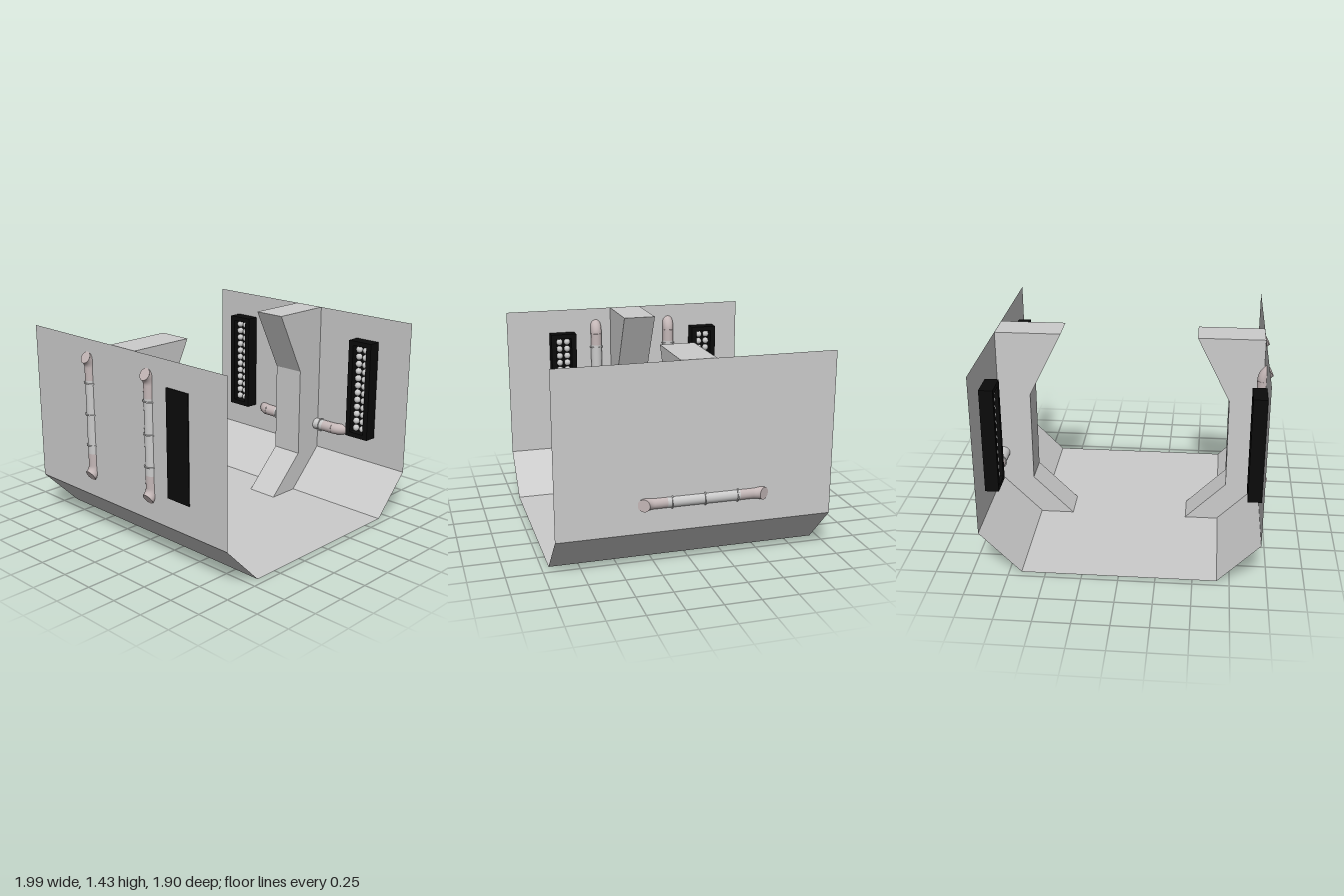
import * as THREE from 'three';

const grey = new THREE.MeshStandardMaterial({ color: 0xcccccc });
const sheet = new THREE.MeshStandardMaterial({ color: 0xcccccc, side: THREE.DoubleSide, flatShading: true });
const black = new THREE.MeshStandardMaterial({ color: 0x0b0b0b });
const tinted = new THREE.MeshStandardMaterial({ color: 0xc4b7b7 });

function add(parent, name, geometry, material, x = 0, y = 0, z = 0) {
  const mesh = new THREE.Mesh(geometry, material);
  mesh.name = name;
  mesh.position.set(x, y, z);
  parent.add(mesh);
  return mesh;
}

const polygon = (points) => new THREE.Shape(points.map(([x, y]) => new THREE.Vector2(x, y)));

// Thin trough: one folded sheet running front to back
function makeShell(group) {
  const section = [[-0.95, 1.43], [-0.95, 0.29], [-0.665, 0], [0.665, 0], [0.95, 0.29], [0.95, 1.43]];
  const names = ['rightWall', 'rightSlope', 'floor', 'leftSlope', 'leftWall'];
  names.forEach((name, i) => {
    const [ax, ay] = section[i], [bx, by] = section[i + 1];
    const panel = new THREE.PlaneGeometry(Math.hypot(bx - ax, by - ay), 1.9);
    panel.rotateX(-Math.PI / 2);
    panel.rotateZ(Math.atan2(by - ay, bx - ax));
    add(group, name, panel, sheet, (ax + bx) / 2, (ay + by) / 2, 0);
  });
}

// Bent structural rib standing against a wall
function makeRib(side) {
  const points = [[0.949, 1.43], [0.48, 1.43], [0.715, 0.96], [0.715, 0.29], [0.425, 0.001], [0.66, 0.001], [0.949, 0.29]];
  const geometry = new THREE.ExtrudeGeometry(polygon(points.map(([x, y]) => [x * side, y])), { depth: 0.24, bevelEnabled: false });
  return geometry.translate(0, 0, -0.12);
}

// Pipe along local y; both ends bend 60 degrees towards local +x
function makePipe(name, halfLength, ringShift) {
  const pipe = new THREE.Group();
  pipe.name = name;
  const r = 0.043, bend = 0.085, angle = Math.PI / 3, core = halfLength - 0.09;
  add(pipe, 'pipeBody', new THREE.CylinderGeometry(r, r, core * 2, 24), grey);
  for (const s of [-1, 1]) {
    add(pipe, 'pipeSleeve', new THREE.CylinderGeometry(r, r, 0.09, 24), tinted, 0, s * (halfLength - 0.045), 0);
    const path = [];
    for (let i = 0; i <= 8; i++) {
      const a = (angle * i) / 8;
      path.push(new THREE.Vector3(bend * (1 - Math.cos(a)), s * (halfLength + bend * Math.sin(a)), 0));
    }
    add(pipe, 'elbow', new THREE.TubeGeometry(new THREE.CatmullRomCurve3(path), 10, r, 24), tinted);
    const end = path[8];
    const cap = add(pipe, 'elbowCap', new THREE.CircleGeometry(r, 24), tinted, end.x, end.y, 0);
    cap.quaternion.setFromUnitVectors(new THREE.Vector3(0, 0, 1), new THREE.Vector3(Math.sin(angle), s * Math.cos(angle), 0));
  }
  // Thin joint rings
  for (const i of [-1, 0, 1]) {
    add(pipe, 'jointRing', new THREE.CylinderGeometry(0.051, 0.051, 0.008, 24), grey, 0, ringShift + i * 0.225, 0);
  }
  return pipe;
}

// Framed panel facing local +z, with two columns of beads in its recess
function makeVent(name) {
  const vent = new THREE.Group();
  vent.name = name;
  const w = 0.1, h = 0.375, iw = 0.06, ih = 0.34;
  const frame = polygon([[-w, -h], [w, -h], [w, h], [-w, h]]);
  frame.holes.push(polygon([[-iw, -ih], [-iw, ih], [iw, ih], [iw, -ih]]));
  add(vent, 'ventFrame', new THREE.ExtrudeGeometry(frame, { depth: 0.095, bevelEnabled: false }), black);
  add(vent, 'ventBack', new THREE.BoxGeometry(iw * 2, ih * 2, 0.03), black, 0, 0, 0.015);
  const bead = new THREE.SphereGeometry(0.026, 12, 8);
  for (let row = 0; row < 12; row++) {
    for (const s of [-1, 1]) add(vent, 'bead', bead, grey, s * 0.03, (row - 5.5) * 0.056, 0.055);
  }
  return vent;
}

export function createModel() {
  const model = new THREE.Group();
  makeShell(model);
  add(model, 'leftRib', makeRib(1), grey);
  add(model, 'rightRib', makeRib(-1), grey);

  // Upright pipes on the right wall
  for (const z of [-0.36, 0.242]) {
    const pipe = makePipe('uprightPipe', 0.355, 0.02);
    pipe.position.set(-0.933, 0.876, z);
    pipe.rotation.y = Math.PI;
    model.add(pipe);
  }

  // Level pipe on the left wall
  const level = makePipe('levelPipe', 0.34, -0.008);
  level.position.set(0.928, 0.49, -0.045);
  level.rotation.x = Math.PI / 2;
  model.add(level);

  // Vents: position of the back plate, facing inwards
  for (const [name, x, z] of [
    ['rightFrontVent', -0.957, 0.517], ['rightBackVent', -0.949, -0.64],
    ['leftFrontVent', 0.935, 0.58], ['leftBackVent', 0.935, -0.64],
  ]) {
    const vent = makeVent(name);
    vent.position.set(x, 0.875, z);
    vent.rotation.y = -Math.sign(x) * Math.PI / 2;
    model.add(vent);
  }
  return model;
}
